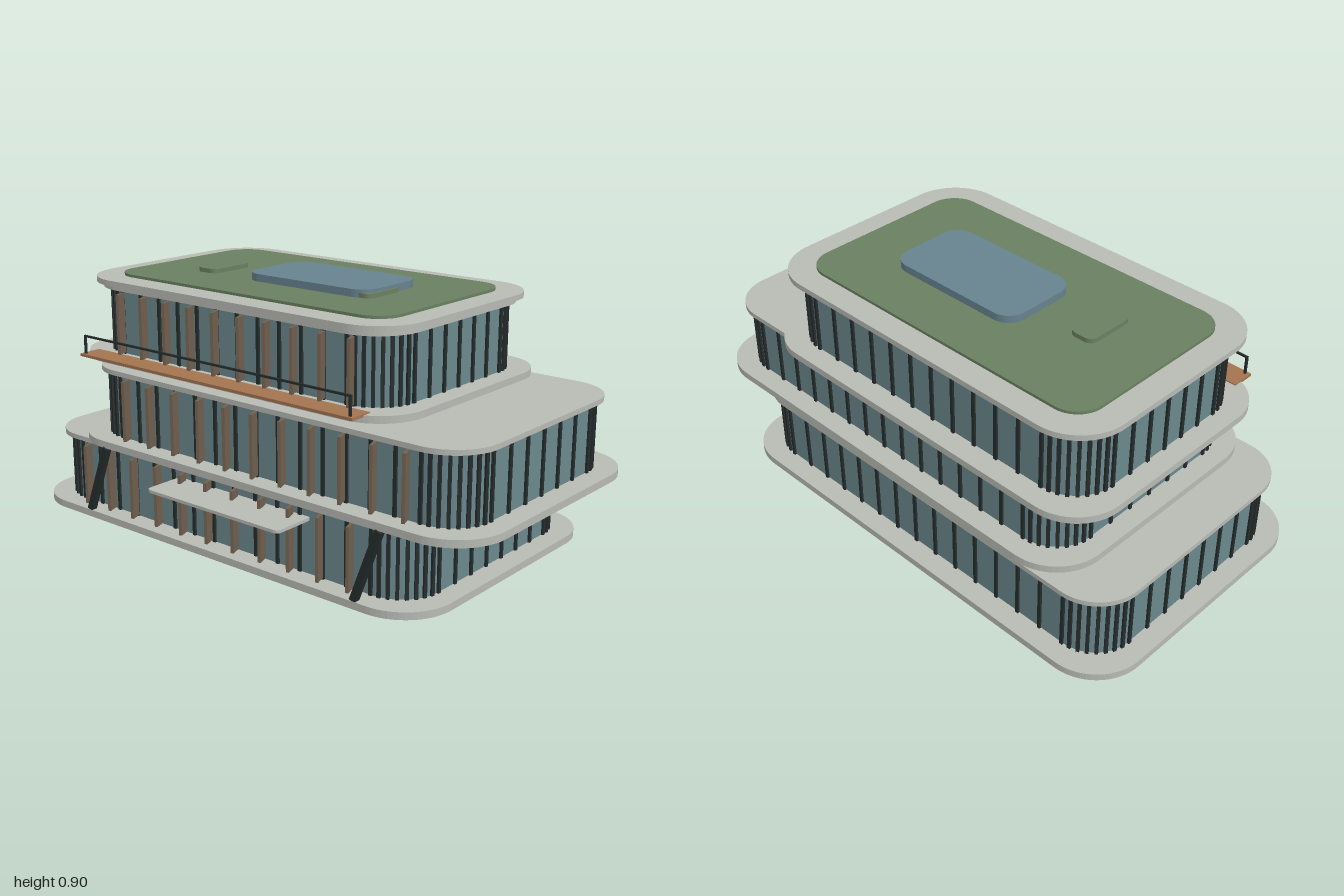
import * as THREE from 'three';

const mat = (name, color) => {
  const m = new THREE.MeshStandardMaterial({ color });
  m.name = name;
  return m;
};

export function createModel() {
  const model = new THREE.Group();
  model.name = 'terracedBuilding';
  const concrete = mat('concrete', 0xb8bab4);
  const glass = mat('glass', 0x6b888d);
  const frame = mat('darkFrame', 0x252c2d);
  const fin = mat('fin', 0x71604f);
  const wood = mat('wood', 0xa3734f);
  const green = mat('greenRoof', 0x6a8060);
  const skylight = mat('skylight', 0x67828f);

  const add = (parent, name, geo, material, x = 0, y = 0, z = 0) => {
    const mesh = new THREE.Mesh(geo, material);
    mesh.name = name;
    mesh.position.set(x, y, z);
    parent.add(mesh);
    return mesh;
  };

  // Flat plate with rounded corners, standing between y0 and y1
  const plate = (parent, name, material, [x0, x1, z0, z1], y0, y1, r) => {
    const s = new THREE.Shape();
    const a = -z1, b = -z0;
    s.moveTo(x0 + r, a);
    s.lineTo(x1 - r, a);
    s.absarc(x1 - r, a + r, r, -Math.PI / 2, 0);
    s.lineTo(x1, b - r);
    s.absarc(x1 - r, b - r, r, 0, Math.PI / 2);
    s.lineTo(x0 + r, b);
    s.absarc(x0 + r, b - r, r, Math.PI / 2, Math.PI);
    s.lineTo(x0, a + r);
    s.absarc(x0 + r, a + r, r, Math.PI, Math.PI * 1.5);
    const geo = new THREE.ExtrudeGeometry(s, { depth: y1 - y0, bevelEnabled: false, curveSegments: 8 });
    geo.rotateX(-Math.PI / 2);
    return add(parent, name, geo, material, 0, y0, 0);
  };

  // Mullions: even bays along the walls, closely set around the corners
  const mullions = (parent, [x0, x1, z0, z1], y0, y1, r) => {
    const group = new THREE.Group();
    group.name = 'mullions';
    parent.add(group);
    const geo = new THREE.BoxGeometry(0.012, y1 - y0, 0.016);
    const post = (x, z, angle) => {
      add(group, 'mullion', geo, frame, x, (y0 + y1) / 2, z).rotation.y = angle;
    };
    const nx = Math.ceil((x1 - x0 - 2 * r) / 0.1), nz = Math.ceil((z1 - z0 - 2 * r) / 0.1);
    for (let i = 0; i <= nx; i++) {
      const x = THREE.MathUtils.lerp(x0 + r, x1 - r, i / nx);
      post(x, z0, 0);
      post(x, z1, 0);
    }
    for (let i = 0; i <= nz; i++) {
      const z = THREE.MathUtils.lerp(z0 + r, z1 - r, i / nz);
      post(x0, z, Math.PI / 2);
      post(x1, z, Math.PI / 2);
    }
    for (let i = 1; i < 8; i++) {
      const t = (i / 8) * Math.PI / 2;
      for (const sx of [-1, 1]) for (const sz of [-1, 1]) {
        const cx = sx > 0 ? x1 - r : x0 + r, cz = sz > 0 ? z1 - r : z0 + r;
        const dx = sx * Math.sin(t), dz = sz * Math.cos(t);
        post(cx + dx * r, cz + dz * r, Math.atan2(dx, dz));
      }
    }
  };

  // Storeys, each with slab, glazing, top band and angled front fins
  const storeys = [
    { name: 'lowerStorey', slab: [-1, 0.82, -0.589, 0.505], r: 0.19, wall: [-0.925, 0.743, -0.512, 0.428],
      band: [-0.953, 0.77, -0.54, 0.457], y: [0, 0.026, 0.265, 0.283], fins: [-0.715, 0.53, 11], finZ: 0.46 },
    { name: 'middleStorey', slab: [-0.78, 1, -0.542, 0.498], r: 0.19, wall: [-0.706, 0.922, -0.466, 0.422],
      band: [-0.733, 0.948, -0.494, 0.45], y: [0.283, 0.309, 0.547, 0.565], fins: [-0.5, 0.735, 11], finZ: 0.452 },
    { name: 'upperStorey', slab: [-0.87, 0.625, -0.565, 0.392], r: 0.18, wall: [-0.796, 0.551, -0.486, 0.315],
      band: [-0.823, 0.578, -0.515, 0.345], y: [0.565, 0.59, 0.828, 0.846], fins: [-0.63, 0.437, 10], finZ: 0.346 },
  ];
  for (const s of storeys) {
    const g = new THREE.Group();
    g.name = s.name;
    model.add(g);
    const [y0, y1, y2, y3] = s.y;
    plate(g, 'floorSlab', concrete, s.slab, y0, y1, s.r);
    plate(g, 'glazing', glass, s.wall, y1, y2, 0.15);
    plate(g, 'topBand', concrete, s.band, y2, y3, 0.17);
    mullions(g, s.wall, y1, y2, 0.15);
    const finGeo = new THREE.BoxGeometry(0.011, 0.222, 0.046);
    const [f0, f1, n] = s.fins;
    for (let i = 0; i < n; i++) {
      const x = THREE.MathUtils.lerp(f0, f1, i / (n - 1));
      add(g, 'fin', finGeo, fin, x, y1 + 0.119, s.finZ).rotation.y = 0.35;
    }
  }

  // Roof
  plate(model, 'roofSlab', concrete, [-0.845, 0.6, -0.535, 0.364], 0.846, 0.866, 0.18);
  plate(model, 'greenRoof', green, [-0.75, 0.505, -0.445, 0.268], 0.866, 0.876, 0.1);
  plate(model, 'skylight', skylight, [-0.275, 0.28, -0.243, 0.068], 0.876, 0.903, 0.07);
  plate(model, 'leftPlanter', green, [0.19, 0.29, -0.12, 0.06], 0.876, 0.892, 0.03);
  plate(model, 'rightPlanter', green, [-0.525, -0.428, -0.135, 0.06], 0.876, 0.892, 0.03);

  // Entrance canopy
  plate(model, 'canopy', concrete, [-0.26, 0.342, 0.42, 0.588], 0.214, 0.225, 0.02);

  // Slanted front columns
  for (const [xa, xb] of [[-0.668, -0.568], [0.575, 0.672]]) {
    const len = Math.hypot(xb - xa, 0.257);
    const c = add(model, 'slantedColumn', new THREE.BoxGeometry(0.025, len, 0.022), frame, (xa + xb) / 2, 0.154, 0.493);
    c.rotation.z = -Math.atan2(xb - xa, 0.257);
  }

  // Balcony deck and railing
  add(model, 'balconyDeck', new THREE.BoxGeometry(1.275, 0.01, 0.09), wood, -0.122, 0.589, 0.39);
  add(model, 'handrail', new THREE.BoxGeometry(1.25, 0.007, 0.007), frame, -0.122, 0.66, 0.422);
  for (const x of [-0.743, 0.499]) {
    add(model, 'railPost', new THREE.BoxGeometry(0.008, 0.07, 0.008), frame, x, 0.627, 0.422);
  }
  return model;
}
